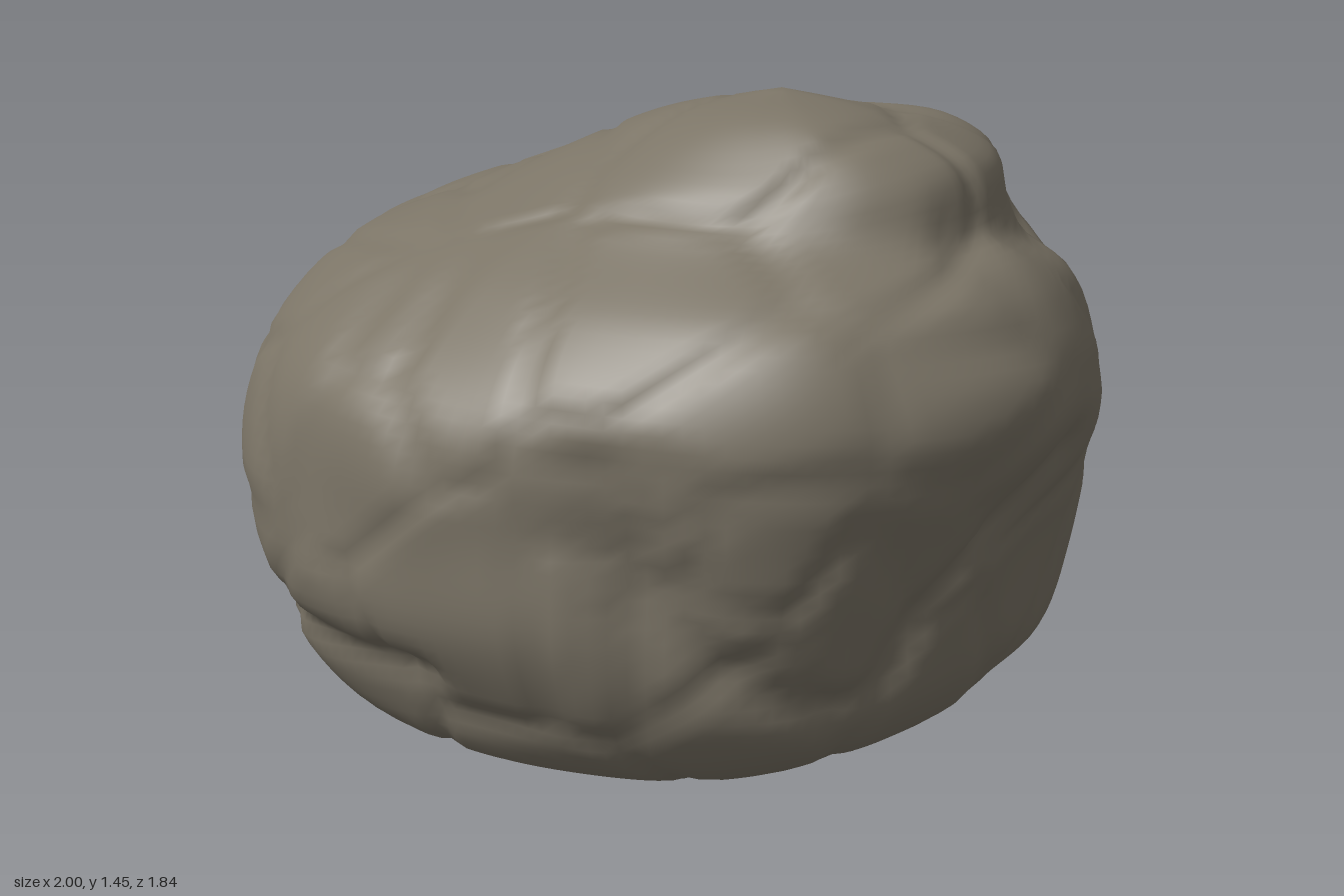
import * as THREE from 'three';

// Horizontal slices: height, centre x, centre z, then 12 radii from +x round through +z
const SLICES = [
  [0.05, 0.05, 0.05, 0.56, 0.58, 0.60, 0.64, 0.71, 0.64, 0.53, 0.67, 0.71, 0.64, 0.63, 0.60],
  [0.20, 0, 0, 0.77, 0.82, 0.80, 0.80, 0.90, 0.87, 0.76, 0.84, 0.85, 0.81, 0.79, 0.80],
  [0.40, 0, 0, 0.84, 0.88, 0.87, 0.91, 0.98, 0.98, 0.88, 0.94, 0.91, 0.88, 0.86, 0.87],
  [0.60, 0, 0, 0.90, 0.93, 0.88, 0.91, 1.01, 1.03, 0.91, 0.95, 0.91, 0.90, 0.86, 0.91],
  [0.85, 0, 0, 1.00, 0.96, 0.89, 0.88, 0.95, 0.99, 1.00, 0.96, 0.88, 0.88, 0.84, 0.93],
  [1.05, 0, 0, 0.92, 0.87, 0.75, 0.67, 0.74, 0.81, 0.87, 0.84, 0.79, 0.82, 0.80, 0.86],
  [1.20, 0.1, -0.1, 0.67, 0.64, 0.57, 0.55, 0.56, 0.60, 0.63, 0.61, 0.54, 0.53, 0.54, 0.58],
  [1.30, 0.22, -0.1, 0.50, 0.48, 0.44, 0.43, 0.44, 0.47, 0.50, 0.46, 0.43, 0.44, 0.44, 0.45],
  [1.41, 0.28, 0.02, 0.21, 0.20, 0.17, 0.16, 0.16, 0.18, 0.20, 0.18, 0.16, 0.16, 0.18, 0.21],
];
const BOTTOM = new THREE.Vector3(0.1, 0, 0.15);
const TOP = new THREE.Vector3(0.27, 1.45, 0);
const COLUMNS = 144, ROWS = 84;
const CORE = new THREE.Vector3(0, 0.65, 0);

// Creases: the plane they are traced in, where they apply, and their path
const CREASES = [
  // edge of the big slab on the left side
  { u: 'z', v: 'y', on: p => p.x > 0.3, width: 0.05, depth: 0.035,
    path: [[0.77, 0.8], [0.68, 0.5], [0.5, 0.3], [0.3, 0.27], [0.18, 0.45], [0, 0.6], [-0.2, 0.74]] },
  // upright cleft towards the back
  { u: 'z', v: 'y', on: p => p.x > 0.2, width: 0.045, depth: 0.04,
    path: [[-0.57, 0.35], [-0.59, 0.7], [-0.63, 1.2]] },
  // shelf below the summit
  { u: 'x', v: 'z', on: p => p.y > 0.8, width: 0.05, depth: 0.03,
    path: [[0.6, -0.48], [0.68, -0.38], [0.74, -0.2], [0.77, 0.02]] },
  // undercut along the front foot
  { u: 'x', v: 'y', on: p => p.z > 0.3, width: 0.045, depth: 0.035,
    path: [[-0.6, 0.34], [-0.45, 0.29], [-0.2, 0.27], [0.02, 0.27]] },
];

// Broad hollows (negative) and bulges (positive): x, y, z, radius, amount
const LUMPS = [
  [0.85, 0.48, -0.2, 0.2, -0.03], [0.05, 0.68, 0.9, 0.14, 0.02], [-0.8, 0.65, 0.3, 0.12, -0.015],
  [0.55, 0.5, 0.7, 0.12, -0.02], [0.38, 1.33, -0.38, 0.12, 0.02], [-0.17, 0.5, -0.88, 0.15, 0.03],
  [0, 0.02, -0.4, 0.35, -0.04],
];

function seededRandom(seed) {
  return () => (seed = (seed * 16807) % 2147483647) / 2147483647;
}

// Closed outline of one slice
function sliceCurve([y, cx, cz, ...radii]) {
  const points = radii.map((r, k) => {
    const a = (k / radii.length) * Math.PI * 2;
    return new THREE.Vector3(cx + r * Math.cos(a), y, cz + r * Math.sin(a));
  });
  return new THREE.CatmullRomCurve3(points, true);
}

// Sampled creases as 2D points
function traceCrease(crease) {
  const curve = new THREE.SplineCurve(crease.path.map(([a, b]) => new THREE.Vector2(a, b)));
  return { ...crease, samples: curve.getPoints(40) };
}

// Blocky plates with shallow grooves between them
function makePlates(count) {
  const random = seededRandom(77);
  const seeds = Array.from({ length: count }, () => {
    const h = random() * 2 - 1, a = random() * Math.PI * 2, r = Math.sqrt(1 - h * h);
    return new THREE.Vector3(r * Math.cos(a) * 0.9, 0.7 + h * 0.65, r * Math.sin(a) * 0.9);
  });
  return p => {
    let near = 9, next = 9;
    for (const s of seeds) {
      const d = p.distanceTo(s);
      if (d < near) { next = near; near = d; } else if (d < next) next = d;
    }
    return THREE.MathUtils.smoothstep(next - near, 0, 0.07) - 0.75;
  };
}

// Moves a point along the line from the core to carve the surface
function makeCarver() {
  const creases = CREASES.map(traceCrease);
  const plates = makePlates(90);
  return p => {
    let move = 0.012 * plates(p);
    move += 0.005 * Math.sin(9 * p.x + 4 * p.y) * Math.sin(8 * p.z - 7 * p.y + 1);
    for (const [x, y, z, r, amount] of LUMPS) {
      const d2 = (p.x - x) ** 2 + (p.y - y) ** 2 + (p.z - z) ** 2;
      move += amount * Math.exp(-d2 / (r * r));
    }
    for (const c of creases) {
      if (!c.on(p)) continue;
      let d2 = 9;
      for (const s of c.samples) d2 = Math.min(d2, (p[c.u] - s.x) ** 2 + (p[c.v] - s.y) ** 2);
      move -= c.depth * Math.exp(-d2 / (c.width * c.width));
    }
    return p.addScaledVector(p.clone().sub(CORE).normalize(), move);
  };
}

function boulderGeometry() {
  const slices = SLICES.map(sliceCurve);
  const carve = makeCarver();
  const positions = [], index = [];

  // Upright curves through the slices, from the underside to the summit
  const columns = Array.from({ length: COLUMNS }, (_, j) => new THREE.CatmullRomCurve3(
    [BOTTOM, ...slices.map(s => s.getPoint(j / COLUMNS)), TOP]).getSpacedPoints(ROWS));

  positions.push(...BOTTOM.toArray());
  for (let i = 1; i < ROWS; i++) {
    for (let j = 0; j < COLUMNS; j++) positions.push(...carve(columns[j][i].clone()).toArray());
  }
  positions.push(...carve(TOP.clone()).toArray());

  // Skin, closing to a single point at each end
  const last = positions.length / 3 - 1;
  const id = (i, j) => i === 0 ? 0 : i === ROWS ? last : 1 + (i - 1) * COLUMNS + (j % COLUMNS);
  for (let i = 0; i < ROWS; i++) {
    for (let j = 0; j < COLUMNS; j++) {
      const a = id(i, j), b = id(i + 1, j), c = id(i, j + 1), d = id(i + 1, j + 1);
      if (i > 0) index.push(a, b, c);
      if (i < ROWS - 1) index.push(b, d, c);
    }
  }

  const geometry = new THREE.BufferGeometry();
  geometry.setAttribute('position', new THREE.Float32BufferAttribute(positions, 3));
  geometry.setIndex(index);

  // Settle on the ground
  geometry.computeBoundingBox();
  geometry.translate(0, -geometry.boundingBox.min.y, 0);
  geometry.computeVertexNormals();
  return geometry;
}

export function createModel() {
  const group = new THREE.Group();
  group.name = 'rock';
  const stone = new THREE.MeshStandardMaterial({ color: 0x7b7466 });
  stone.name = 'stone';
  const boulder = new THREE.Mesh(boulderGeometry(), stone);
  boulder.name = 'boulder';
  group.add(boulder);
  return group;
}
